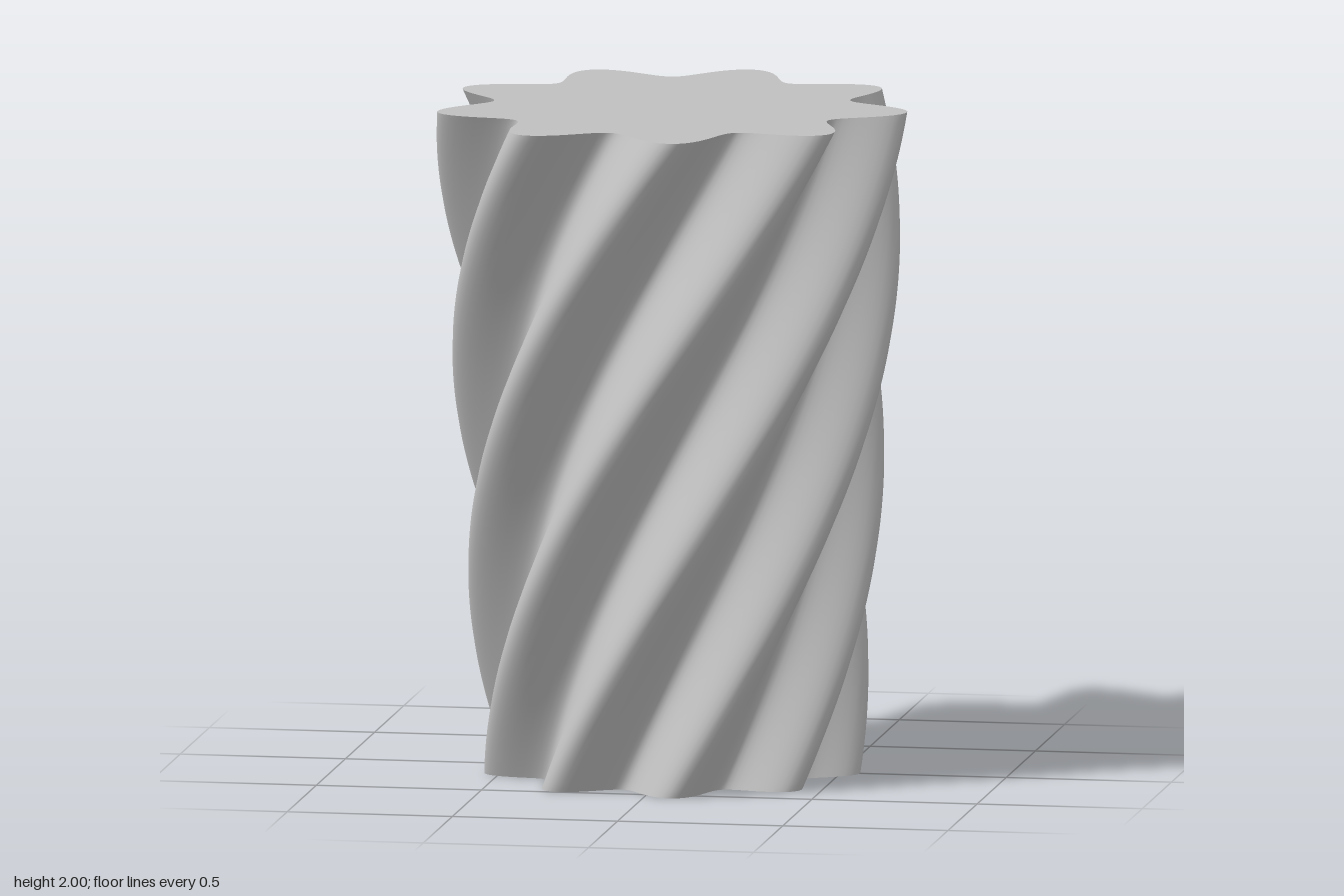
import * as THREE from 'three';
import { mergeVertices } from 'three/addons/utils/BufferGeometryUtils.js';

const HEIGHT = 2, LOBES = 9, MEAN = 0.625, WAVE = 0.086;
const TWIST = THREE.MathUtils.degToRad(120), BOTTOM_SCALE = 0.8;
const SEGMENTS = 216, OFFSET_X = -0.011, OFFSET_Z = -0.002;

// Turns a unit-radius round geometry into the lobed, twisted, tapered form
function flute(geometry) {
  const pos = geometry.attributes.position;
  for (let i = 0; i < pos.count; i++) {
    const x = pos.getX(i), y = pos.getY(i), z = pos.getZ(i);
    const t = y / HEIGHT;
    const angle = Math.atan2(-z, x);
    const scale = BOTTOM_SCALE + (1 - BOTTOM_SCALE) * t;
    const r = Math.hypot(x, z) * (MEAN + WAVE * Math.cos(LOBES * angle)) * scale;
    const a = angle + TWIST * (t - 1);
    pos.setXYZ(i, r * Math.cos(a) + OFFSET_X, y, -r * Math.sin(a) + OFFSET_Z);
  }
  return geometry;
}

export function createModel() {
  const group = new THREE.Group();
  group.name = 'twistedColumn';
  const grey = new THREE.MeshStandardMaterial({ color: 0xc0c0c0 });
  grey.name = 'light grey';

  const add = (name, geometry) => {
    const mesh = new THREE.Mesh(geometry, grey);
    mesh.name = name;
    group.add(mesh);
  };

  // Fluted wall, welded at the seam so it shades smoothly all round
  let wall = new THREE.CylinderGeometry(1, 1, HEIGHT, SEGMENTS, 80, true);
  wall.translate(0, HEIGHT / 2, 0);
  wall.deleteAttribute('uv');
  wall.deleteAttribute('normal');
  wall = mergeVertices(wall, 1e-5);
  flute(wall).computeVertexNormals();
  add('flutedWall', wall);

  // Flat end caps
  for (const [name, y, turn] of [['topCap', HEIGHT, -1], ['bottomCap', 0, 1]]) {
    const cap = new THREE.CircleGeometry(1, SEGMENTS);
    cap.rotateX(turn * Math.PI / 2);
    cap.translate(0, y, 0);
    add(name, flute(cap));
  }
  return group;
}
